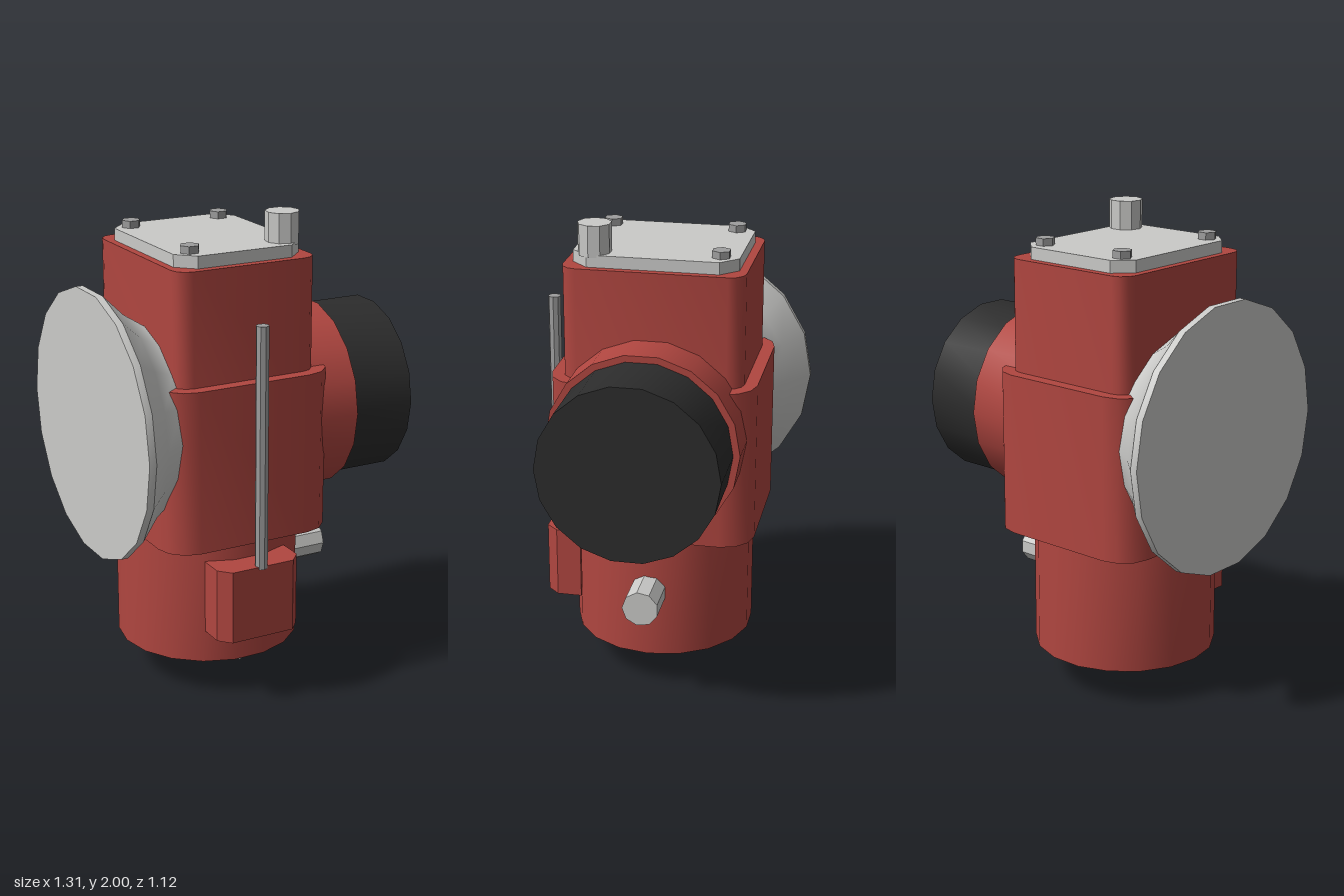
import * as THREE from 'three';
import { toCreasedNormals } from 'three/addons/utils/BufferGeometryUtils.js';

const AXIS_X = -0.125; // vertical axis of the body
const PORT_Y = 1.152;  // height of the horizontal axis

function makeMaterial(name, color) {
  const m = new THREE.MeshStandardMaterial({ color });
  m.name = name;
  return m;
}

// Outline in x/z with corners rounded (3 steps) or chamfered (1 step)
function outline(hx, hz, r, steps) {
  const pts = [];
  [[1, 1], [-1, 1], [-1, -1], [1, -1]].forEach(([sx, sz], i) => {
    for (let k = 0; k <= steps; k++) {
      const a = (i + k / steps) * Math.PI / 2;
      pts.push(new THREE.Vector2(sx * (hx - r) + r * Math.cos(a), sz * (hz - r) + r * Math.sin(a)));
    }
  });
  return pts;
}

// Vertical prism between y0 and y1
function prism(points, y0, y1) {
  const g = new THREE.ExtrudeGeometry(new THREE.Shape(points), { depth: y1 - y0, bevelEnabled: false });
  return g.rotateX(-Math.PI / 2).translate(0, y0, 0);
}

function upright(r, y0, y1, sides, turn = 0) {
  return new THREE.CylinderGeometry(r, r, y1 - y0, sides).rotateY(turn).translate(0, (y0 + y1) / 2, 0);
}

function sideways(r, x0, x1, sides) {
  return new THREE.CylinderGeometry(r, r, x1 - x0, sides).rotateZ(-Math.PI / 2).translate((x0 + x1) / 2, 0, 0);
}

export function createModel() {
  const group = new THREE.Group();
  group.name = 'valveUnit';

  const red = makeMaterial('red paint', 0xb04640);
  const light = makeMaterial('light grey metal', 0xcacac8);
  const metal = makeMaterial('mid grey metal', 0x9e9e9e);
  const black = makeMaterial('black', 0x2c2c2c);

  function add(name, geometry, material, x = 0, y = 0, z = 0) {
    const mesh = new THREE.Mesh(toCreasedNormals(geometry, 0.6), material);
    mesh.name = name;
    mesh.position.set(x, y, z);
    group.add(mesh);
  }

  // Body: round base, wide sleeve, tall column
  add('base', upright(0.385, 0.16, 0.69, 18, Math.PI / 2), red, AXIS_X);
  add('sleeve', prism(outline(0.375, 0.428, 0.13, 3), 0.688, 1.365), red, AXIS_X);
  add('column', prism(outline(0.31, 0.375, 0.065, 3), 1.3, 1.83), red, AXIS_X);

  // Side port with black cap
  add('portCollar', sideways(0.4, -0.1, 0.37, 18), red, 0, PORT_Y);
  add('portCap', sideways(0.372, 0.36, 0.652, 18), black, 0, PORT_Y);

  // Flared dish on the other side
  const profile = [[0, -0.655], [0.56, -0.655], [0.56, -0.625], [0.467, -0.53], [0.405, -0.435], [0.395, -0.3], [0, -0.3]]
    .map(([r, x]) => new THREE.Vector2(r, x));
  add('dish', new THREE.LatheGeometry(profile, 18).rotateZ(-Math.PI / 2), light, 0, PORT_Y);

  // Lid with three bolts and a post
  add('lid', prism(outline(0.278, 0.34, 0.07, 1), 1.83, 1.88), light, AXIS_X);
  for (const [x, z] of [[-0.33, -0.265], [0.075, -0.265], [-0.33, 0.265]]) {
    add('lidBolt', upright(0.04, 1.87, 1.91, 6, Math.PI / 2), metal, x, 0, z);
  }
  add('lidPost', upright(0.07, 1.87, 2, 9), light, 0.09, 0, 0.248);

  // Plug on the base
  add('basePlug', sideways(0.077, 0.2, 0.415, 9), light, 0, 0.453);

  // Front bracket carrying the rod
  const bracket = [[-0.31, -0.34], [-0.31, -0.445], [-0.265, -0.495], [0.015, -0.495], [0.06, -0.445], [0.06, -0.34]]
    .map(([x, y]) => new THREE.Vector2(x, y));
  add('bracket', prism(bracket, 0.3, 0.61), red);
  add('rod', upright(0.027, 0.6, 1.613, 8), metal, AXIS_X, 0, 0.478);

  // Underside pin and bolts
  add('bottomPin', upright(0.042, 0, 0.18, 8), metal, AXIS_X);
  for (const s of [-1, 1]) {
    add('bottomBolt', upright(0.054, 0.11, 0.18, 6), metal, AXIS_X, 0, s * 0.248);
  }

  return group;
}
